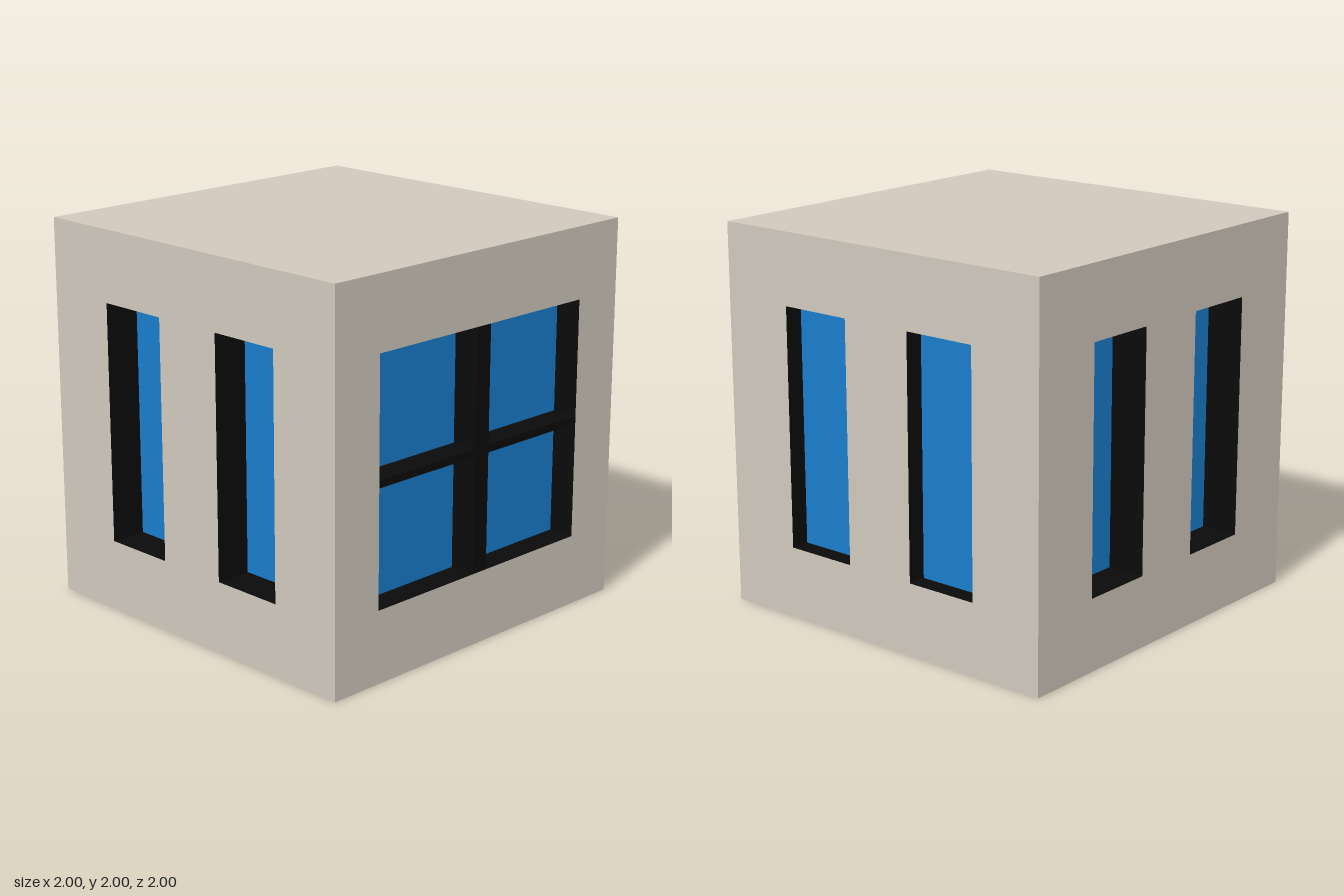
import * as THREE from 'three';

const wallMat = new THREE.MeshStandardMaterial({ color: 0xd0c8bc });
const glassMat = new THREE.MeshStandardMaterial({ color: 0x187dcb });
const frameMat = new THREE.MeshStandardMaterial({ color: 0x0a0a0a });

const SILL = 0.375, HEAD = 1.627;
const H = HEAD - SILL, MID = (HEAD + SILL) / 2;

function add(parent, name, geometry, material, x = 0, y = 0, z = 0) {
  const mesh = new THREE.Mesh(geometry, material);
  mesh.name = name;
  mesh.position.set(x, y, z);
  parent.add(mesh);
  return mesh;
}

// Recessed window: glass pane at the back and four dark reveals facing inward
function makeWindow(x, width, depth) {
  const win = new THREE.Group();
  win.name = 'window';
  win.position.set(x, MID, 1);
  add(win, 'glass', new THREE.PlaneGeometry(width, H), glassMat, 0, 0, -depth);
  for (let i = 0; i < 4; i++) {
    const upright = i % 2 === 1;
    const geo = new THREE.PlaneGeometry(upright ? H : width, depth);
    geo.rotateX(-Math.PI / 2);
    geo.translate(0, -(upright ? width : H) / 2, -depth / 2);
    geo.rotateZ(i * Math.PI / 2);
    add(win, 'reveal', geo, frameMat);
  }
  return win;
}

// Wall facing +z with an opening for each window centre, turned to its side
function makeWall(name, angle, centres, width, depth) {
  const wall = new THREE.Group();
  wall.name = name;
  wall.rotation.y = angle;
  const shape = new THREE.Shape([[-1, 0], [1, 0], [1, 2], [-1, 2]].map(p => new THREE.Vector2(...p)));
  for (const x of centres) {
    const a = x - width / 2, b = x + width / 2;
    shape.holes.push(new THREE.Path([[a, SILL], [a, HEAD], [b, HEAD], [b, SILL]].map(p => new THREE.Vector2(...p))));
    wall.add(makeWindow(x, width, depth));
  }
  add(wall, 'wallPanel', new THREE.ShapeGeometry(shape), wallMat, 0, 0, 1);
  return wall;
}

export function createModel() {
  const model = new THREE.Group();
  model.name = 'house';

  // Three walls with paired narrow windows
  model.add(makeWall('frontWall', 0, [-0.4, 0.4], 0.4, 0.19));
  model.add(makeWall('backWall', Math.PI, [-0.4, 0.4], 0.4, 0.1));
  model.add(makeWall('rightWall', -Math.PI / 2, [-0.4, 0.4], 0.4, 0.2));

  // Left wall with one wide window divided by crossing bars
  const width = 1.425, depth = 0.14;
  const leftWall = makeWall('leftWall', Math.PI / 2, [0], width, depth);
  add(leftWall, 'verticalBar', new THREE.BoxGeometry(0.095, H, depth), frameMat, 0, MID, 1 - depth / 2);
  const half = (width - 0.095) / 2;
  for (const s of [-1, 1]) {
    add(leftWall, 'horizontalBar', new THREE.BoxGeometry(half, 0.04, depth), frameMat,
      s * (0.0475 + half / 2), MID, 1 - depth / 2);
  }
  model.add(leftWall);

  // Flat roof and floor
  add(model, 'roof', new THREE.PlaneGeometry(2, 2), wallMat, 0, 2, 0).rotation.x = -Math.PI / 2;
  add(model, 'floor', new THREE.PlaneGeometry(2, 2), wallMat).rotation.x = Math.PI / 2;
  return model;
}
